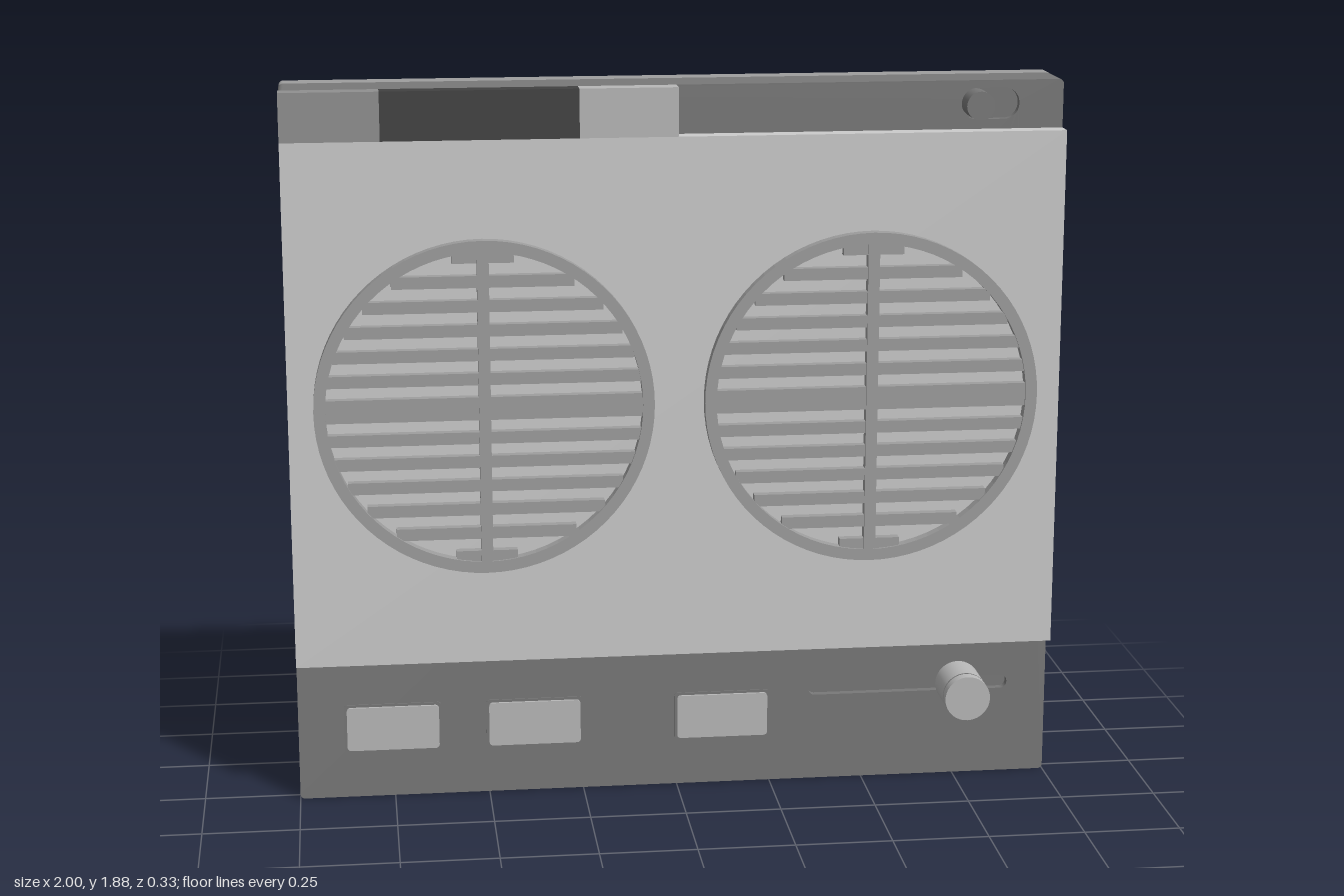
import * as THREE from 'three';

const mat = (color) => new THREE.MeshStandardMaterial({ color });
const PALE = mat(0xcccccc), DARK = mat(0x787878), MID = mat(0x9e9e9e);
const BLACK = mat(0x414141), TAB = mat(0x909090), KEY = mat(0xb8b8b8);

function add(parent, name, geometry, material, x = 0, y = 0, z = 0) {
  const mesh = new THREE.Mesh(geometry, material);
  mesh.name = name;
  mesh.position.set(x, y, z);
  parent.add(mesh);
  return mesh;
}

// Box given by its limits on each axis
function block(parent, name, material, [x0, x1], [y0, y1], [z0, z1]) {
  return add(parent, name, new THREE.BoxGeometry(x1 - x0, y1 - y0, z1 - z0), material,
    (x0 + x1) / 2, (y0 + y1) / 2, (z0 + z1) / 2);
}

// Rounded rectangle outline; a radius of half the height gives a pill
function roundRect(path, x0, x1, y0, y1, r) {
  path.absarc(x1 - r, y0 + r, r, -Math.PI / 2, 0);
  path.absarc(x1 - r, y1 - r, r, 0, Math.PI / 2);
  path.absarc(x0 + r, y1 - r, r, Math.PI / 2, Math.PI);
  path.absarc(x0 + r, y0 + r, r, Math.PI, Math.PI * 1.5);
  path.closePath();
  return path;
}

const extrude = (shape, depth, segments = 8) =>
  new THREE.ExtrudeGeometry(shape, { depth, bevelEnabled: false, curveSegments: segments });

// Round grille: ring, louvres and a central post
function speaker(x) {
  const g = new THREE.Group();
  g.name = 'speakerGrille';
  g.position.set(x, 1.065, 0.08);
  const ring = new THREE.Shape().absarc(0, 0, 0.435, 0, Math.PI * 2);
  ring.holes.push(new THREE.Path().absarc(0, 0, 0.405, 0, Math.PI * 2, true));
  add(g, 'grilleRing', extrude(ring, 0.03, 40), MID);
  block(g, 'grillePost', MID, [-0.015, 0.015], [-0.41, 0.41], [0, 0.029]);
  const slat = (y, h) => {
    const half = Math.sqrt(0.415 ** 2 - (Math.abs(y) + h / 2) ** 2);
    block(g, 'grilleSlat', MID, [-half, half], [y - h / 2, y + h / 2], [0, 0.024]);
  };
  slat(0, 0.06);
  for (const side of [-1, 1]) {
    for (let i = 0; i < 6; i++) slat(side * (0.077 + i * 0.063), 0.031);
  }
  return g;
}

export function createModel() {
  const model = new THREE.Group();
  model.name = 'tabletopRadio';

  // Casing: back cover, body and a front plate with two slots
  const outline = () => roundRect(new THREE.Shape(), -1, 1, 0, 1.875, 0.012);
  add(model, 'backCover', extrude(outline(), 0.063), MID, 0, 0, -0.168);
  add(model, 'body', extrude(outline(), 0.115), DARK, 0, 0, -0.105);
  const plate = outline();
  plate.holes.push(
    roundRect(new THREE.Path(), 0.355, 0.895, 0.235, 0.272, 0.018),
    roundRect(new THREE.Path(), 0.735, 0.885, 1.775, 1.855, 0.039));
  add(model, 'frontPlate', extrude(plate, 0.02), DARK, 0, 0, 0.01);

  // Raised speaker panel and the tabs above it
  const raised = [0.03, 0.08];
  block(model, 'speakerPanel', PALE, [-1, 1], [0.38, 1.75], raised);
  block(model, 'outputTab', TAB, [-1, -0.75], [1.75, 1.875], raised);
  block(model, 'inputTab', BLACK, [-0.75, -0.25], [1.75, 1.875], raised);
  block(model, 'sideTab', KEY, [-0.25, 0], [1.75, 1.875], raised);
  for (const x of [-0.5, 0.5]) model.add(speaker(x));

  // Push buttons, each on a thin dark surround
  for (const x of [-0.752, -0.378, 0.122]) {
    const rim = roundRect(new THREE.Shape(), -0.128, 0.128, -0.066, 0.066, 0.01);
    add(model, 'buttonSurround', extrude(rim, 0.003), DARK, x, 0.19, 0.03);
    const key = roundRect(new THREE.Shape(), -0.121, 0.121, -0.059, 0.059, 0.01);
    add(model, 'button', extrude(key, 0.01), KEY, x, 0.19, 0.03);
  }

  // Slider knob with a narrow groove behind its cap
  const turned = (points) =>
    new THREE.LatheGeometry(points.map(([r, z]) => new THREE.Vector2(r, z)), 40).rotateX(Math.PI / 2);
  add(model, 'sliderStem', turned([[0.06, 0.03], [0.06, 0.132]]), KEY, 0.76, 0.255);
  add(model, 'sliderGroove', turned([[0.06, 0.132], [0.057, 0.132], [0.057, 0.138], [0.06, 0.138]]),
    DARK, 0.76, 0.255);
  const cap = new THREE.CylinderGeometry(0.06, 0.06, 0.028, 40).rotateX(Math.PI / 2);
  add(model, 'sliderCap', cap, KEY, 0.76, 0.255, 0.152);

  // Toggle switch peg
  const peg = new THREE.CylinderGeometry(0.037, 0.037, 0.07, 32).rotateX(Math.PI / 2);
  add(model, 'togglePeg', peg, DARK, 0.775, 1.815, 0.045);

  return model;
}
